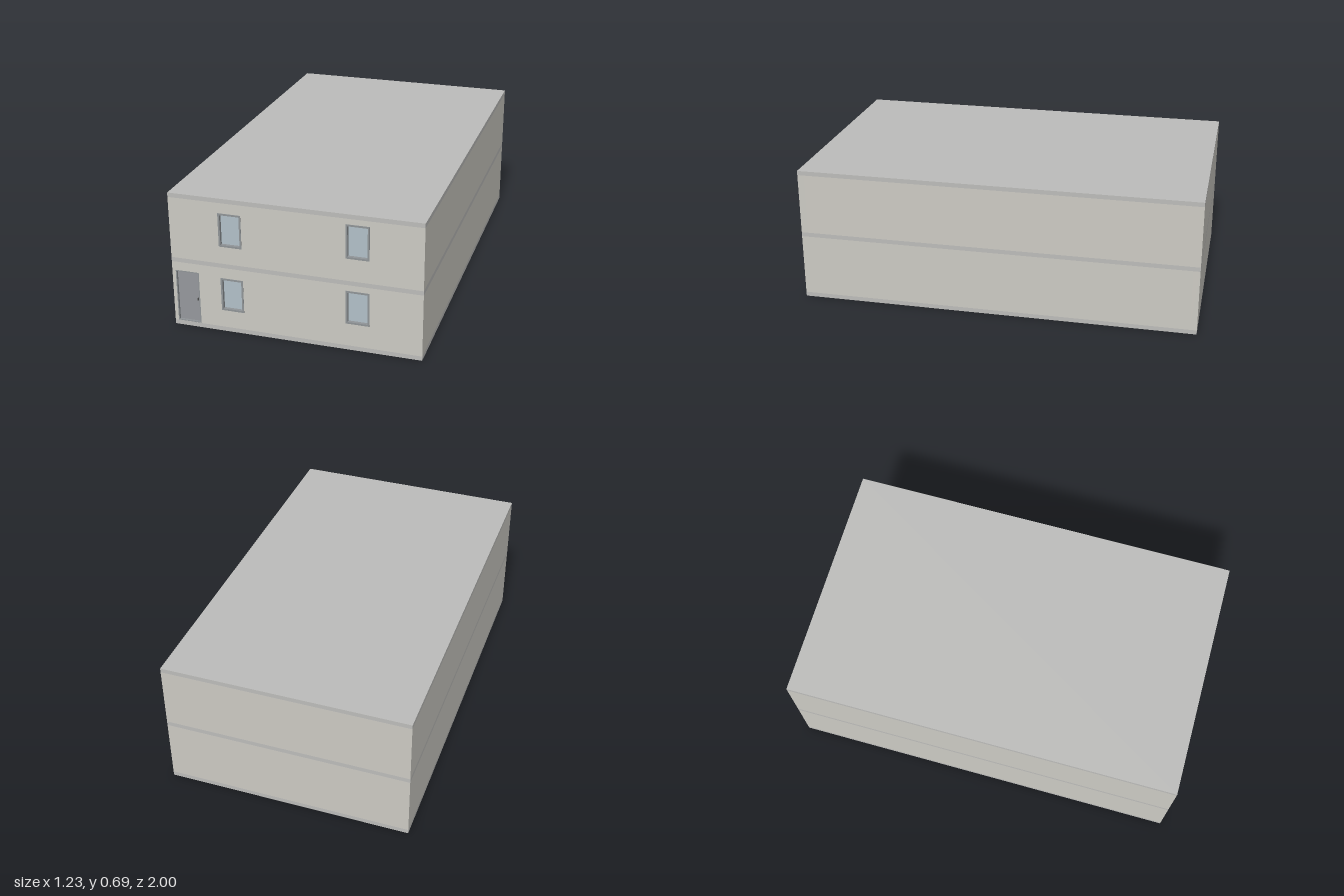
import * as THREE from 'three';

const W = 1.228, H = 0.687, BACK = -1, FRONT = 0.998;
const SLAB = 0.022, WALL = 0.035;
const DEPTH = FRONT - BACK, MID_Z = (FRONT + BACK) / 2;

const mat = (color) => new THREE.MeshStandardMaterial({ color });

// Rectangle path from its left, bottom, width and height
function rect(path, x, y, w, h) {
  path.moveTo(x, y);
  path.lineTo(x + w, y);
  path.lineTo(x + w, y + h);
  path.lineTo(x, y + h);
  path.closePath();
  return path;
}

export function createModel() {
  const model = new THREE.Group();
  const wallMat = mat(0xcccac3), slabMat = mat(0xbcbcba);
  const frameMat = mat(0x8f9497), glassMat = mat(0xb2c0c8);
  const doorMat = mat(0x95989c), handleMat = mat(0x555555);

  function add(parent, name, geometry, material, x = 0, y = 0, z = 0) {
    const mesh = new THREE.Mesh(geometry, material);
    mesh.name = name;
    mesh.position.set(x, y, z);
    parent.add(mesh);
    return mesh;
  }
  const box = (parent, name, w, h, d, material, x, y, z) =>
    add(parent, name, new THREE.BoxGeometry(w, h, d), material, x, y, z);
  const panel = (shape, depth) =>
    new THREE.ExtrudeGeometry(shape, { depth, bevelEnabled: false });

  // Floor, middle and roof slabs, flush with the walls
  const slabBottoms = [0, 0.335, H - SLAB];
  ['floorSlab', 'middleSlab', 'roofSlab'].forEach((name, i) =>
    box(model, name, W, SLAB, DEPTH, slabMat, 0, slabBottoms[i] + SLAB / 2, MID_Z));

  const door = { x: -0.597, y: SLAB, w: 0.119, h: 0.269 };
  const win = { w: 0.113, h: 0.169 };
  const storeys = [
    { windows: [[-0.367, 0.112], [0.249, 0.137]], door },
    { windows: [[-0.367, 0.445], [0.249, 0.469]] },
  ];

  // Frame and recessed glass of one window
  function addWindow(x, y) {
    const group = new THREE.Group();
    group.name = 'window';
    group.position.set(x, y, 0);
    const t = 0.009;
    const outline = rect(new THREE.Shape(), 0, 0, win.w, win.h);
    outline.holes.push(rect(new THREE.Path(), t, t, win.w - 2 * t, win.h - 2 * t));
    add(group, 'windowFrame', panel(outline, 0.034), frameMat, 0, 0, 1 - 0.034);
    box(group, 'windowGlass', win.w - 2 * t, win.h - 2 * t, 0.006, glassMat,
      win.w / 2, win.h / 2, 0.981);
    model.add(group);
  }

  // Frame, leaf and handle of the entrance
  function addDoor({ x, y, w, h }) {
    const group = new THREE.Group();
    group.name = 'door';
    group.position.set(x, y, 0);
    const t = 0.005;
    const outline = rect(new THREE.Shape(), 0, 0, w, h);
    outline.holes.push(rect(new THREE.Path(), t, t, w - 2 * t, h - 2 * t));
    add(group, 'doorFrame', panel(outline, 0.035), frameMat, 0, 0, FRONT - 0.035);
    box(group, 'doorLeaf', w - 2 * t, h - 2 * t, 0.012, doorMat, w / 2, h / 2, 0.98);
    box(group, 'doorHandle', 0.005, 0.012, 0.008, handleMat, w - 0.014, h * 0.46, 0.989);
    model.add(group);
  }

  // Walls of each storey, standing between two slabs
  storeys.forEach((storey, i) => {
    const base = slabBottoms[i] + SLAB, height = slabBottoms[i + 1] - base;
    const midY = base + height / 2;

    const facade = rect(new THREE.Shape(), -W / 2, base, W, height);
    storey.windows.forEach(([x, y]) => {
      facade.holes.push(rect(new THREE.Path(), x, y, win.w, win.h));
      addWindow(x, y);
    });
    if (storey.door) {
      // The opening starts a hair above the slab to stay inside the outline
      const d = storey.door;
      facade.holes.push(rect(new THREE.Path(), d.x, d.y + 0.001, d.w, d.h - 0.001));
      addDoor(d);
    }
    add(model, 'frontWall', panel(facade, WALL), wallMat, 0, 0, FRONT - WALL);
    box(model, 'backWall', W, height, WALL, wallMat, 0, midY, BACK + WALL / 2);
    for (const side of [-1, 1]) {
      box(model, side > 0 ? 'leftWall' : 'rightWall', WALL, height, DEPTH - 2 * WALL,
        wallMat, side * (W - WALL) / 2, midY, MID_Z);
    }
  });

  return model;
}
